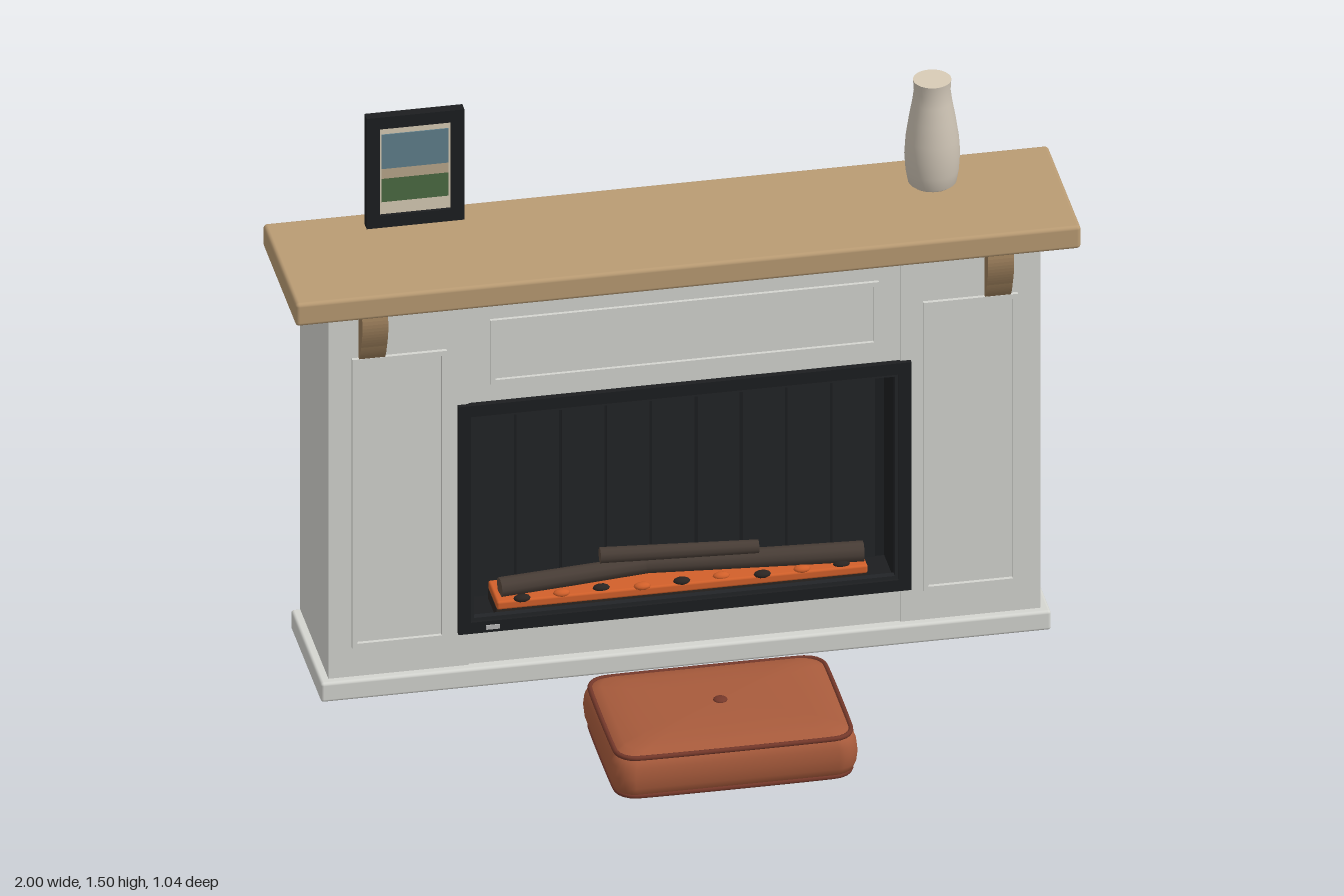
import * as THREE from 'three';
import { RoundedBoxGeometry } from 'three/addons/geometries/RoundedBoxGeometry.js';

const mat = (color, extra = {}) => new THREE.MeshStandardMaterial({ color, ...extra });
const paint = mat(0xd4d5d0), wood = mat(0xb99b73), corbelWood = mat(0x9a7d5a);
const black = mat(0x1c1e20), slat = mat(0x222427), bark = mat(0x483d36), barkEnd = mat(0x5a4a3e);
const ember = mat(0xd2602a), coal = mat(0x2a2522), silver = mat(0xb8b8b8);
const leather = mat(0xa85b3c), piping = mat(0x74382a);
const ceramic = mat(0xcdc3b4), cream = mat(0xd8ccb6), backing = mat(0x8c7a64);

export function createModel() {
  const model = new THREE.Group();

  const add = (name, geo, material, parent = model) => {
    const m = new THREE.Mesh(geo, material);
    m.name = name;
    parent.add(m);
    return m;
  };
  const group = (name) => {
    const g = new THREE.Group();
    g.name = name;
    model.add(g);
    return g;
  };
  // Box given by its limits; a radius rounds the edges
  const box = (name, x0, x1, y0, y1, z0, z1, material, parent, r = 0) => {
    const s = [x1 - x0, y1 - y0, z1 - z0];
    const geo = r ? new RoundedBoxGeometry(...s, 3, r) : new THREE.BoxGeometry(...s);
    const m = add(name, geo, material, parent);
    m.position.set((x0 + x1) / 2, (y0 + y1) / 2, (z0 + z1) / 2);
    return m;
  };
  // Rectangular frame with an open middle
  const border = (name, x0, x1, y0, y1, w, z0, z1, material, parent) => {
    const s = new THREE.Shape([[x0, y0], [x1, y0], [x1, y1], [x0, y1]].map((p) => new THREE.Vector2(...p)));
    s.holes.push(new THREE.Path([[x0 + w, y0 + w], [x0 + w, y1 - w], [x1 - w, y1 - w], [x1 - w, y0 + w]]
      .map((p) => new THREE.Vector2(...p))));
    const m = add(name, new THREE.ExtrudeGeometry(s, { depth: z1 - z0, bevelEnabled: false }), material, parent);
    m.position.z = z0;
    return m;
  };

  // Painted surround
  const surround = group('surround');
  box('plinth', -0.93, 0.93, 0.015, 0.07, -0.52, -0.135, paint, surround, 0.008);
  box('header', -0.55, 0.55, 0.82, 1.12, -0.518, -0.162, paint, surround);
  box('lowerRail', -0.55, 0.55, 0.06, 0.17, -0.518, -0.162, paint, surround);
  border('headerMoulding', -0.495, 0.495, 0.87, 1.055, 0.013, -0.165, -0.153, paint, surround);
  for (const s of [-1, 1]) {
    const span = (a, b) => (s > 0 ? [a, b] : [-b, -a]);
    box('pilaster', ...span(0.55, 0.907), 0.06, 1.12, -0.52, -0.157, paint, surround);
    border('pilasterMoulding', ...span(0.607, 0.848), 0.155, 0.985, 0.013, -0.16, -0.147, paint, surround);
  }

  // Mantel shelf and its curved corbels
  box('mantelShelf', -1, 1, 1.12, 1.185, -0.525, -0.105, wood, model, 0.01);
  const profile = new THREE.Shape();
  profile.moveTo(0, 0.14);
  profile.lineTo(0.044, 0.14);
  profile.bezierCurveTo(0.056, 0.11, 0.044, 0.075, 0.032, 0.05);
  profile.quadraticCurveTo(0.022, 0.02, 0.006, 0);
  profile.lineTo(0, 0);
  const corbelGeo = new THREE.ExtrudeGeometry(profile, { depth: 0.066, bevelEnabled: false, curveSegments: 10 });
  corbelGeo.translate(0, 0, -0.033).rotateY(-Math.PI / 2);
  for (const s of [-1, 1]) {
    add('corbel', corbelGeo, corbelWood).position.set(s * 0.797, 0.98, -0.158);
  }

  // Firebox: lined recess, front frame and vertical slats
  const firebox = group('firebox');
  border('fireboxFrame', -0.578, 0.576, 0.165, 0.82, 0.032, -0.162, -0.145, black, firebox);
  border('fireboxInnerTrim', -0.549, 0.547, 0.194, 0.791, 0.012, -0.17, -0.152, slat, firebox);
  border('fireboxLining', -0.55, 0.55, 0.17, 0.82, 0.012, -0.31, -0.16, black, firebox);
  box('fireboxBack', -0.55, 0.55, 0.17, 0.82, -0.312, -0.302, black, firebox);
  for (let i = 0; i < 9; i++) {
    const x = -0.46 + i * 0.115;
    box('backSlat', x - 0.054, x + 0.054, 0.182, 0.808, -0.303, -0.298, slat, firebox);
  }
  box('controlPlate', -0.508, -0.473, 0.174, 0.186, -0.147, -0.142, silver, firebox);

  // Ember bed and logs
  const fire = group('fire');
  box('emberTray', -0.475, 0.47, 0.18, 0.212, -0.285, -0.175, coal, fire);
  box('emberBed', -0.475, 0.47, 0.21, 0.234, -0.285, -0.17, ember, fire, 0.006);
  for (let i = 0; i < 9; i++) {
    const e = add('emberLump', new THREE.IcosahedronGeometry(0.02, 1), i % 2 ? ember : coal, fire);
    e.scale.set(1.1, 0.5, 0.7);
    e.position.set(-0.41 + i * 0.102, 0.236, -0.176 - (i % 3) * 0.006);
  }
  const log = (a, b, r) => {
    const from = new THREE.Vector3(...a), to = new THREE.Vector3(...b);
    const dir = to.clone().sub(from);
    const geo = new THREE.CylinderGeometry(r * 0.85, r, dir.length(), 10);
    const m = add('log', geo, [bark, barkEnd, barkEnd], fire);
    m.position.copy(from).add(to).multiplyScalar(0.5);
    m.quaternion.setFromUnitVectors(new THREE.Vector3(0, 1, 0), dir.normalize());
  };
  log([-0.46, 0.253, -0.21], [0.14, 0.266, -0.255], 0.026);
  log([0.465, 0.256, -0.205], [-0.12, 0.262, -0.24], 0.027);
  log([-0.2, 0.302, -0.235], [0.2, 0.294, -0.215], 0.021);

  // Picture frame with a small banded landscape
  const picture = group('pictureFrame');
  border('frameBorder', -0.752, -0.503, 1.185, 1.502, 0.034, -0.47, -0.443, black, picture);
  box('frameBacking', -0.72, -0.535, 1.215, 1.47, -0.465, -0.458, backing, picture);
  box('pictureMat', -0.72, -0.535, 1.215, 1.47, -0.459, -0.452, cream, picture);
  [['sky', 1.35, 1.448, 0x5f7f8c], ['horizon', 1.322, 1.35, 0xb9a88c], ['meadow', 1.255, 1.322, 0x4c6b42]]
    .forEach(([name, y0, y1, c]) => box(name, -0.713, -0.542, y0, y1, -0.453, -0.449, mat(c), picture));

  // Vase
  const vasePts = [[0.054, 0], [0.061, 0.006], [0.067, 0.04], [0.07, 0.085], [0.067, 0.13], [0.059, 0.185],
    [0.05, 0.235], [0.046, 0.265], [0.048, 0.295]].map((p) => new THREE.Vector2(...p));
  const vase = add('vase', new THREE.LatheGeometry(vasePts, 40), ceramic);
  vase.position.set(0.68, 1.185, -0.4);
  const discs = [[0.048, 0.295, -1, cream], [0.054, 0.001, 1, ceramic]];
  for (const [r, y, s, m] of discs) {
    const d = add('vaseCap', new THREE.CircleGeometry(r, 40), m, vase);
    d.rotation.x = s * Math.PI / 2;
    d.position.y = y;
  }

  // Floor cushion: rounded-rectangle rings stacked from bottom to top
  const cushion = group('floorCushion');
  cushion.position.z = 0.296;
  const ring = (inset, scale, y) => {
    const pts = [], r = 0.055 - inset * 0.3, hx = 0.315 - inset, hz = 0.223 - inset;
    for (let q = 0; q < 4; q++) {
      const cx = (q === 0 || q === 3 ? 1 : -1) * (hx - r), cz = (q < 2 ? 1 : -1) * (hz - r);
      for (let k = 0; k <= 6; k++) {
        const a = (q + k / 6) * Math.PI / 2;
        pts.push(new THREE.Vector3((cx + r * Math.cos(a)) * scale, y, (cz + r * Math.sin(a)) * scale));
      }
    }
    return pts;
  };
  const rings = [[0.02, 0, 0.002], [0.02, 0.45, 0.003], [0.02, 0.75, 0.008], [0.02, 0.93, 0.016], [0.02, 1, 0.027],
    [0.01, 1, 0.036], [0.003, 1, 0.055], [0, 1, 0.084], [0.003, 1, 0.112], [0.01, 1, 0.13],
    [0.02, 1, 0.139], [0.02, 0.93, 0.149], [0.02, 0.75, 0.156], [0.02, 0.45, 0.161], [0.02, 0, 0.162]];
  const verts = rings.flatMap((p) => ring(...p)), n = 28, index = [];
  for (let i = 0; i < rings.length - 1; i++) {
    for (let j = 0; j < n; j++) {
      const a = i * n + j, b = i * n + (j + 1) % n;
      index.push(a, a + n, b, b, a + n, b + n);
    }
  }
  const body = new THREE.BufferGeometry().setFromPoints(verts);
  body.setIndex(index);
  body.computeVertexNormals();
  add('cushionBody', body, leather, cushion);
  for (const y of [0.029, 0.137]) {
    const path = new THREE.CatmullRomCurve3(ring(0.015, 1, y), true, 'centripetal');
    add('cushionPiping', new THREE.TubeGeometry(path, 120, 0.0065, 8, true), piping, cushion);
  }
  const button = add('cushionButton', new THREE.SphereGeometry(0.018, 20, 12), piping, cushion);
  button.scale.y = 0.4;
  button.position.y = 0.162;

  return model;
}
